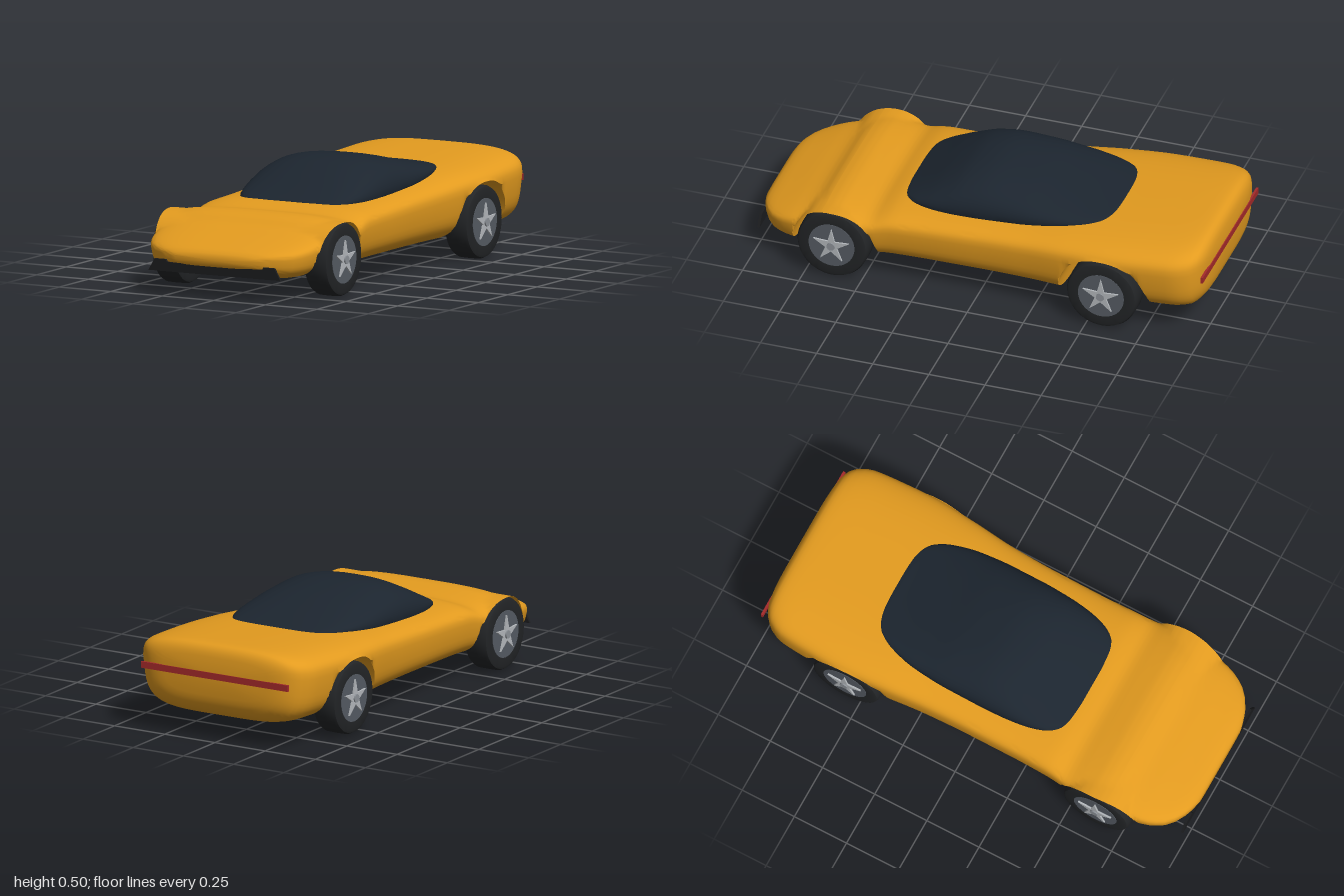
import * as THREE from 'three';
import { toCreasedNormals } from 'three/addons/utils/BufferGeometryUtils.js';

const paint = (color) => new THREE.MeshStandardMaterial({ color });

// Smooth curve through [z, value...] rows, z ascending
function smoothKeys(rows) {
  const slope = (i, k) => {
    const a = rows[Math.max(i - 1, 0)], b = rows[i], c = rows[Math.min(i + 1, rows.length - 1)];
    if (a === b || b === c) return (c[k] - a[k]) / (c[0] - a[0]);
    const s0 = (b[k] - a[k]) / (b[0] - a[0]), s1 = (c[k] - b[k]) / (c[0] - b[0]);
    return s0 * s1 <= 0 ? 0 : (2 * s0 * s1) / (s0 + s1);
  };
  return (z, k) => {
    let i = 0;
    while (i < rows.length - 2 && z > rows[i + 1][0]) i++;
    const a = rows[i], b = rows[i + 1], d = b[0] - a[0], t = (z - a[0]) / d;
    const t2 = t * t, t3 = t2 * t;
    return (2 * t3 - 3 * t2 + 1) * a[k] + (t3 - 2 * t2 + t) * d * slope(i, k)
      + (3 * t2 - 2 * t3) * b[k] + (t3 - t2) * d * slope(i + 1, k);
  };
}

// Skin over closed rings, counter-clockwise from +z, z ascending, ends closed to a point
function loft(rings, crease) {
  const middle = (ring) => {
    const ys = ring.map((p) => p[1]);
    return ring.map((p) => [0, (Math.min(...ys) + Math.max(...ys)) / 2, p[2]]);
  };
  const all = [middle(rings[0]), ...rings, middle(rings[rings.length - 1])];
  const n = rings[0].length, index = [];
  for (let i = 0; i < all.length - 1; i++) {
    for (let j = 0; j < n; j++) {
      const a = i * n + j, b = i * n + (j + 1) % n;
      index.push(a, b, b + n, a, b + n, a + n);
    }
  }
  const geo = new THREE.BufferGeometry();
  geo.setAttribute('position', new THREE.Float32BufferAttribute(all.flat(2), 3));
  geo.setIndex(index);
  return toCreasedNormals(geo, crease);
}

const power = (v, n) => Math.sign(v) * Math.abs(v) ** (2 / n);
const AXLES = [{ z: 0.63, half: 0.19, top: 0.315 }, { z: -0.57, half: 0.205, top: 0.332 }];

// Body: z, half width, top, bottom
const bodyKeys = smoothKeys([
  [-1, 0.26, 0.37, 0.2], [-0.99, 0.32, 0.4, 0.16], [-0.97, 0.365, 0.418, 0.13],
  [-0.94, 0.395, 0.422, 0.105], [-0.88, 0.42, 0.42, 0.097], [-0.77, 0.43, 0.414, 0.095],
  [-0.6, 0.437, 0.404, 0.092], [-0.4, 0.424, 0.392, 0.09], [-0.2, 0.406, 0.374, 0.09],
  [0, 0.4, 0.361, 0.09], [0.2, 0.4, 0.35, 0.09], [0.38, 0.405, 0.341, 0.09],
  [0.48, 0.414, 0.316, 0.09], [0.55, 0.422, 0.325, 0.09], [0.62, 0.425, 0.333, 0.09],
  [0.68, 0.42, 0.324, 0.09], [0.75, 0.41, 0.285, 0.09], [0.84, 0.39, 0.258, 0.09],
  [0.91, 0.355, 0.236, 0.095], [0.96, 0.3, 0.22, 0.112], [0.985, 0.245, 0.207, 0.13], [1, 0.19, 0.19, 0.148],
]);

function buildBody() {
  const stations = [-1, -0.995, -0.99, -0.98, -0.97, -0.955, 0.975, 0.985, 0.993, 1];
  for (let z = -0.94; z < 0.97; z += 0.03) stations.push(z);
  for (const a of AXLES) {
    for (let i = 0; i <= 24; i++) stations.push(a.z - a.half * Math.cos((i / 24) * Math.PI));
  }
  stations.sort((a, b) => a - b);
  const rings = stations.map((z) => {
    const w = bodyKeys(z, 1), top = bodyKeys(z, 2), bottom = bodyKeys(z, 3);
    // Wheel arches lift the underside across the full width
    let floor = bottom;
    for (const a of AXLES) {
      const d = Math.min(1, Math.abs(z - a.z) / a.half);
      floor = Math.max(floor, bottom + (a.top - bottom) * (1 - d ** 2.3) ** (1 / 2.3));
    }
    const belt = bottom + (top - bottom) * 0.66;
    return Array.from({ length: 64 }, (_, j) => {
      const t = (j / 64) * Math.PI * 2, s = Math.sin(t), n = s > 0 ? 3.3 : 4.5;
      const y = belt + power(s, n) * (s > 0 ? top - belt : belt - bottom);
      const tuck = 1 - 0.06 * Math.max(0, (belt - y) / (belt - bottom));
      return [power(Math.cos(t), n) * w * tuck, Math.max(y, floor), z];
    });
  });
  return loft(rings, 0.7);
}

// Glass canopy: z, half width, base, roof
const glassKeys = smoothKeys([
  [-0.55, 0.12, 0.395, 0.399], [-0.54, 0.165, 0.394, 0.402], [-0.5, 0.225, 0.391, 0.408],
  [-0.42, 0.268, 0.384, 0.422], [-0.3, 0.295, 0.374, 0.447], [-0.15, 0.305, 0.361, 0.48],
  [0, 0.305, 0.351, 0.496], [0.1, 0.302, 0.345, 0.482], [0.2, 0.293, 0.341, 0.44],
  [0.3, 0.268, 0.337, 0.386], [0.35, 0.235, 0.335, 0.359], [0.375, 0.19, 0.334, 0.346], [0.383, 0.14, 0.334, 0.341],
]);

function buildCanopy() {
  const rings = [];
  for (let i = 0; i <= 48; i++) {
    const z = -0.0835 - 0.4665 * Math.cos((i / 48) * Math.PI);
    const w = glassKeys(z, 1), base = glassKeys(z, 2), roof = glassKeys(z, 3);
    rings.push(Array.from({ length: 48 }, (_, j) => {
      const t = (j / 48) * Math.PI * 2, s = Math.sin(t);
      return [power(Math.cos(t), 2.5) * w, base + power(s, 2.5) * (s > 0 ? roof - base : 0.03), z];
    }));
  }
  return loft(rings, 0.9);
}

// Wheel with its outer face towards +x
function buildWheel() {
  const wheel = new THREE.Group();
  const add = (name, geo, color) => {
    const mesh = new THREE.Mesh(geo, paint(color));
    mesh.name = name;
    wheel.add(mesh);
  };
  const profile = [[0.1, -0.054], [0.14, -0.056], [0.15, -0.052], [0.156, -0.04],
    [0.157, 0], [0.156, 0.04], [0.15, 0.052], [0.14, 0.056], [0.1, 0.054], [0.1, -0.054]];
  const tyre = new THREE.LatheGeometry(profile.map((p) => new THREE.Vector2(...p)), 48);
  add('tyre', toCreasedNormals(tyre.rotateZ(-Math.PI / 2), 0.7), 0x222426);
  add('rim', new THREE.CylinderGeometry(0.102, 0.102, 0.112, 40).rotateZ(-Math.PI / 2), 0x555b63);

  const star = new THREE.Shape();
  for (let i = 0; i < 10; i++) {
    const r = i % 2 ? 0.027 : 0.083, a = Math.PI / 2 + (i * Math.PI) / 5;
    star[i ? 'lineTo' : 'moveTo'](r * Math.cos(a), r * Math.sin(a));
  }
  star.closePath();
  const spokes = new THREE.ExtrudeGeometry(star, { depth: 0.012, bevelEnabled: false });
  add('spokes', spokes.rotateY(Math.PI / 2).translate(0.052, 0, 0), 0xb4b8bc);
  add('hub', new THREE.CylinderGeometry(0.018, 0.018, 0.02, 20).rotateZ(-Math.PI / 2).translate(0.06, 0, 0), 0x8d9298);
  return wheel;
}

export function createModel() {
  const car = new THREE.Group();
  car.name = 'sportsCar';
  const add = (name, geo, color) => {
    const mesh = new THREE.Mesh(geo, paint(color));
    mesh.name = name;
    car.add(mesh);
    return mesh;
  };
  add('body', buildBody(), 0xe39b1f);
  add('canopy', buildCanopy(), 0x1c252f);

  // Front lip with raised ends
  const half = [[0.32, 0.106], [0.29, 0.157], [0.237, 0.157], [0.23, 0.146]];
  const outline = [...half, ...half.map(([x, y]) => [-x, y]).reverse()];
  const lip = new THREE.Shape(outline.map((p) => new THREE.Vector2(...p)));
  add('frontLip', new THREE.ExtrudeGeometry(lip, { depth: 0.01, bevelEnabled: false }), 0x1b1c1e).position.z = 0.985;

  // Full-width tail light
  add('tailLight', new THREE.BoxGeometry(0.73, 0.028, 0.01), 0xa52a2a).position.set(0, 0.289, -0.999);

  for (const [i, axle] of AXLES.entries()) {
    for (const side of [1, -1]) {
      const wheel = buildWheel();
      wheel.name = (i ? 'rear' : 'front') + (side > 0 ? 'Left' : 'Right') + 'Wheel';
      wheel.position.set(side * 0.368, 0.157, axle.z);
      if (side < 0) wheel.rotation.y = Math.PI;
      car.add(wheel);
    }
  }
  return car;
}
